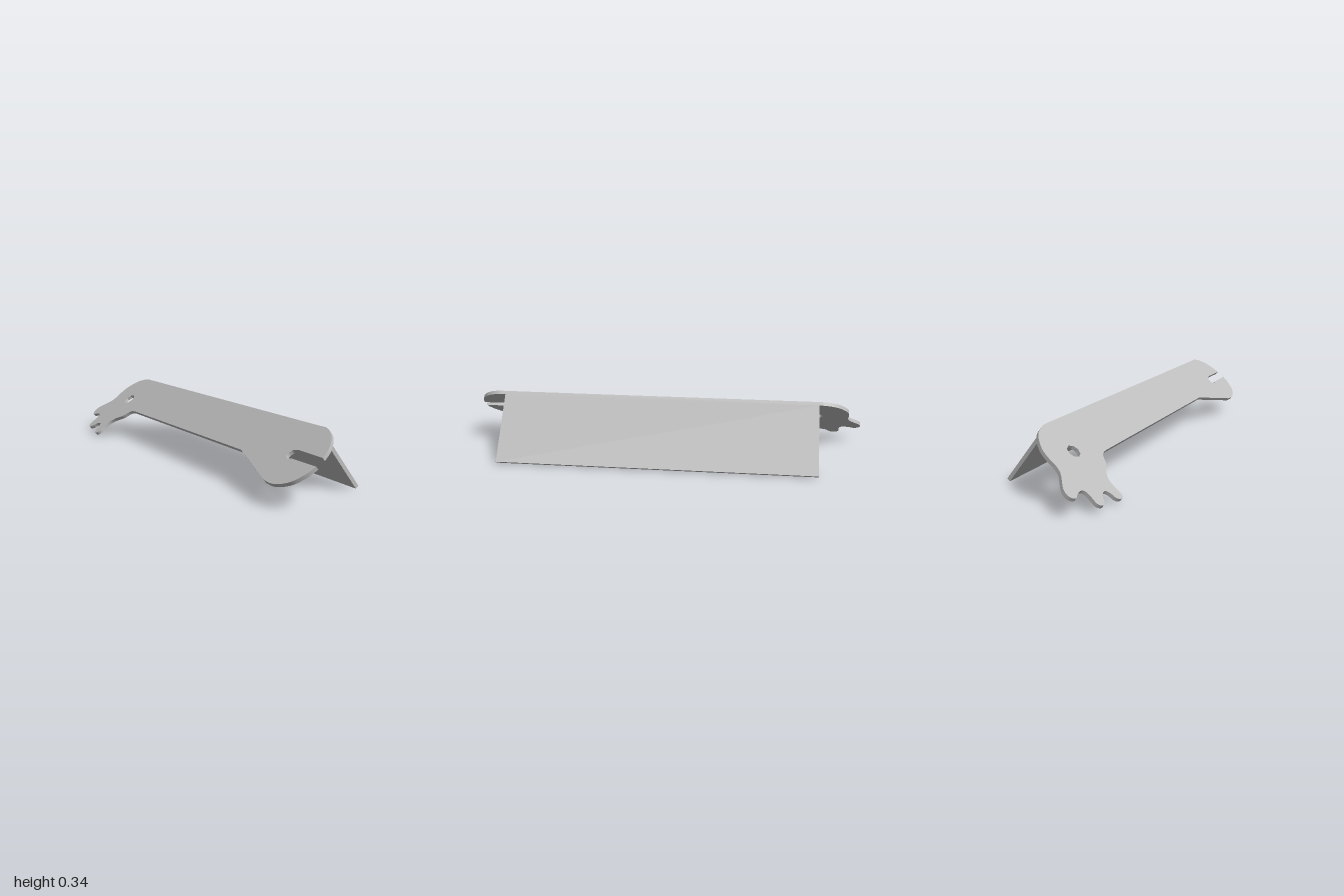
import * as THREE from 'three';
import { toCreasedNormals } from 'three/addons/utils/BufferGeometryUtils.js';

const RIDGE = new THREE.Vector3(-0.618, 0.337, -0.5); // start of the bend line
const LENGTH = 1.748;                                 // length of the bend
const HEADING = 0.56;                                 // bend direction in plan
const TILT = THREE.MathUtils.degToRad(38);            // slope of the main plate
const THICK = 0.02;
const FLANGE = 0.412;

// Plan position (x, z) -> flat plate coordinates (along bend, up the slope)
function flat([x, z]) {
  const dx = x - RIDGE.x, dz = z - RIDGE.z;
  const c = Math.cos(HEADING), s = Math.sin(HEADING);
  return new THREE.Vector2(dx * c + dz * s, -(dz * c - dx * s) / Math.cos(TILT));
}

// Toothed end, from the bend round to the straight lower edge
const head = [
  [-0.66, -0.521], [-0.73, -0.535], [-0.8, -0.519], [-0.837, -0.489], [-0.858, -0.457],
  [-0.88, -0.438], [-0.906, -0.43], [-0.976, -0.42], [-1, -0.396], [-0.987, -0.366],
  [-0.955, -0.358], [-0.922, -0.342], [-0.914, -0.321], [-0.928, -0.297], [-0.947, -0.27],
  [-0.933, -0.243], [-0.906, -0.238], [-0.874, -0.246], [-0.842, -0.235], [-0.834, -0.211],
  [-0.842, -0.179], [-0.821, -0.152], [-0.794, -0.158], [-0.773, -0.19], [-0.746, -0.214],
  [-0.703, -0.222], [-0.655, -0.219], [-0.602, -0.233], [-0.559, -0.217],
];
// Round slotted end
const lowerJaw = [[0.741, 0.693], [0.821, 0.711], [0.885, 0.695], [0.928, 0.666]];
const slotEnd = [[0.757, 0.567], [0.749, 0.543], [0.773, 0.529], [0.805, 0.54]];
const upperJaw = [[0.957, 0.58], [0.944, 0.511], [0.906, 0.457]];

function plateShape() {
  const shape = new THREE.Shape();
  const line = (p) => { const v = flat(p); shape.lineTo(v.x, v.y); };
  const spline = (pts) => shape.splineThru(pts.map(flat));
  shape.moveTo(0, 0);
  spline(head);
  line([0.463, 0.42]);
  line([0.682, 0.655]);
  spline(lowerJaw);
  line([0.783, 0.577]);
  spline(slotEnd);
  line([0.944, 0.628]);
  shape.splineThru([...upperJaw.map(flat), new THREE.Vector2(LENGTH, 0)]);
  // Round hole in the head
  const hole = flat([-0.7, -0.374]);
  const path = new THREE.Path();
  path.absarc(hole.x, hole.y, 0.037, 0, Math.PI * 2, true);
  shape.holes.push(path);
  return shape;
}

export function createModel() {
  const model = new THREE.Group();
  const steel = new THREE.MeshStandardMaterial({ color: 0xbcbcbc });
  steel.name = 'steel grey';

  const bracket = new THREE.Group();
  bracket.name = 'bentBracket';

  // Main plate with toothed head and slotted end
  const plateGeo = new THREE.ExtrudeGeometry(plateShape(), {
    depth: THICK, bevelEnabled: false, curveSegments: 4,
  });
  plateGeo.translate(0, 0, -THICK);
  const plate = new THREE.Mesh(toCreasedNormals(plateGeo, 0.6), steel);
  plate.name = 'mainPlate';
  bracket.add(plate);

  // Flange folded square to the plate
  const flange = new THREE.Mesh(new THREE.BoxGeometry(LENGTH, THICK, FLANGE - THICK), steel);
  flange.name = 'flange';
  flange.position.set(LENGTH / 2, -THICK / 2, -(FLANGE + THICK) / 2);
  bracket.add(flange);

  // Place the bent part: x along the bend, y up the slope, z out of the plate
  const c = Math.cos(HEADING), s = Math.sin(HEADING);
  const ct = Math.cos(TILT), st = Math.sin(TILT);
  const along = new THREE.Vector3(c, 0, s);
  const up = new THREE.Vector3(s * ct, st, -c * ct);
  const out = new THREE.Vector3(-s * st, ct, c * st);
  bracket.quaternion.setFromRotationMatrix(new THREE.Matrix4().makeBasis(along, up, out));
  bracket.position.copy(RIDGE);
  model.add(bracket);
  return model;
}
